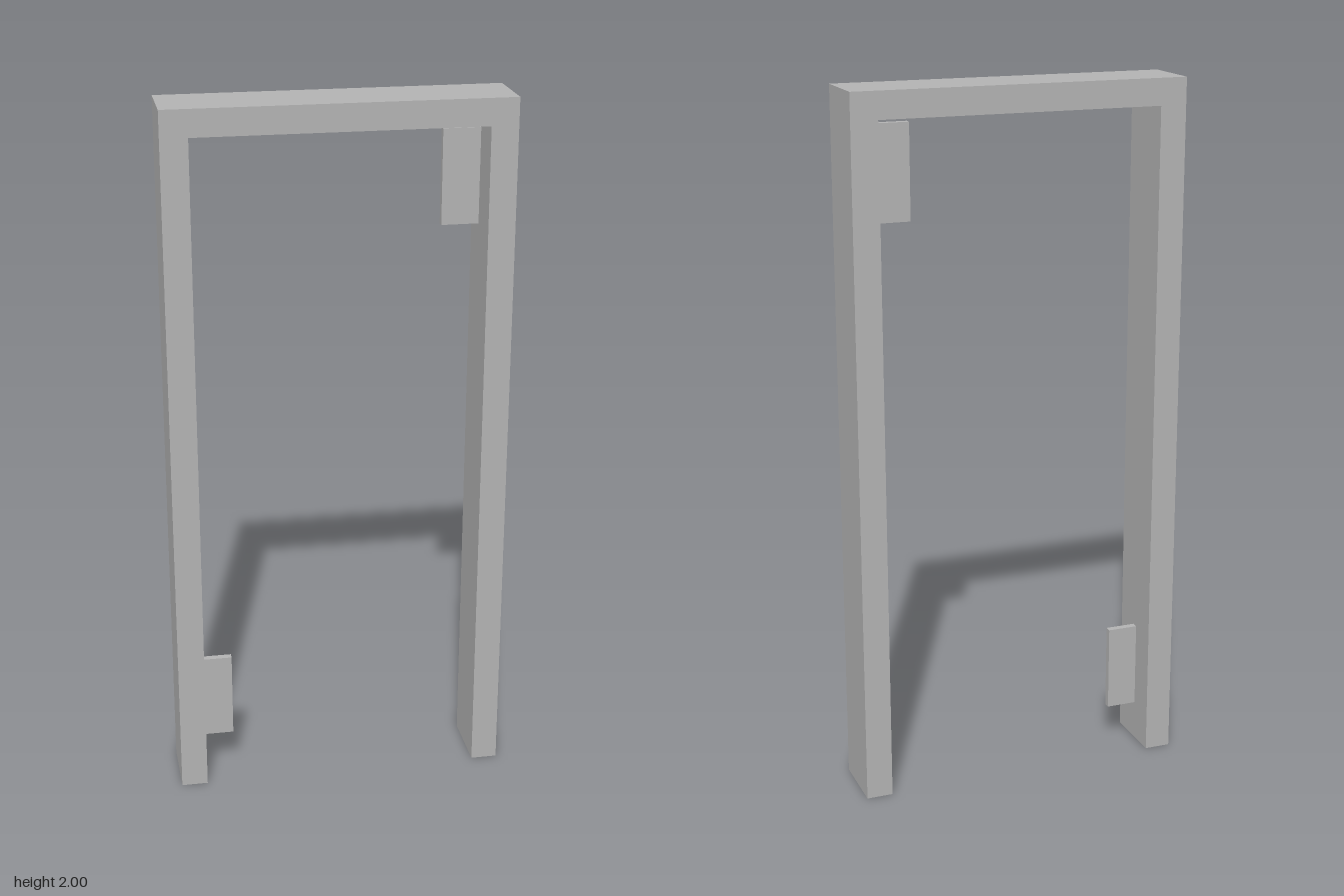
import * as THREE from 'three';

export function createModel() {
  const group = new THREE.Group();
  const grey = new THREE.MeshStandardMaterial({ color: 0xb2b2b2 });
  grey.name = 'grey';

  // Box given by its x and y limits and its depth, centred on z = 0
  function box(name, x0, x1, y0, y1, depth) {
    const mesh = new THREE.Mesh(new THREE.BoxGeometry(x1 - x0, y1 - y0, depth), grey);
    mesh.name = name;
    mesh.position.set((x0 + x1) / 2, (y0 + y1) / 2, 0);
    group.add(mesh);
  }

  // Door frame: two jambs under a full-width lintel
  const half = 0.475, inner = 0.4, lintelBottom = 1.925, depth = 0.19;
  box('rightJamb', -half, -inner, 0, lintelBottom, depth);
  box('leftJamb', inner, half, 0, lintelBottom, depth);
  box('lintel', -half, half, lintelBottom, 2, depth);

  // Thin plates standing out from the inner sides of the jambs
  box('lowerPlate', -0.399, -0.311, 0.115, 0.365, 0.02);
  box('upperPlate', 0.29, 0.394, 1.64, 1.905, 0.02);

  return group;
}
